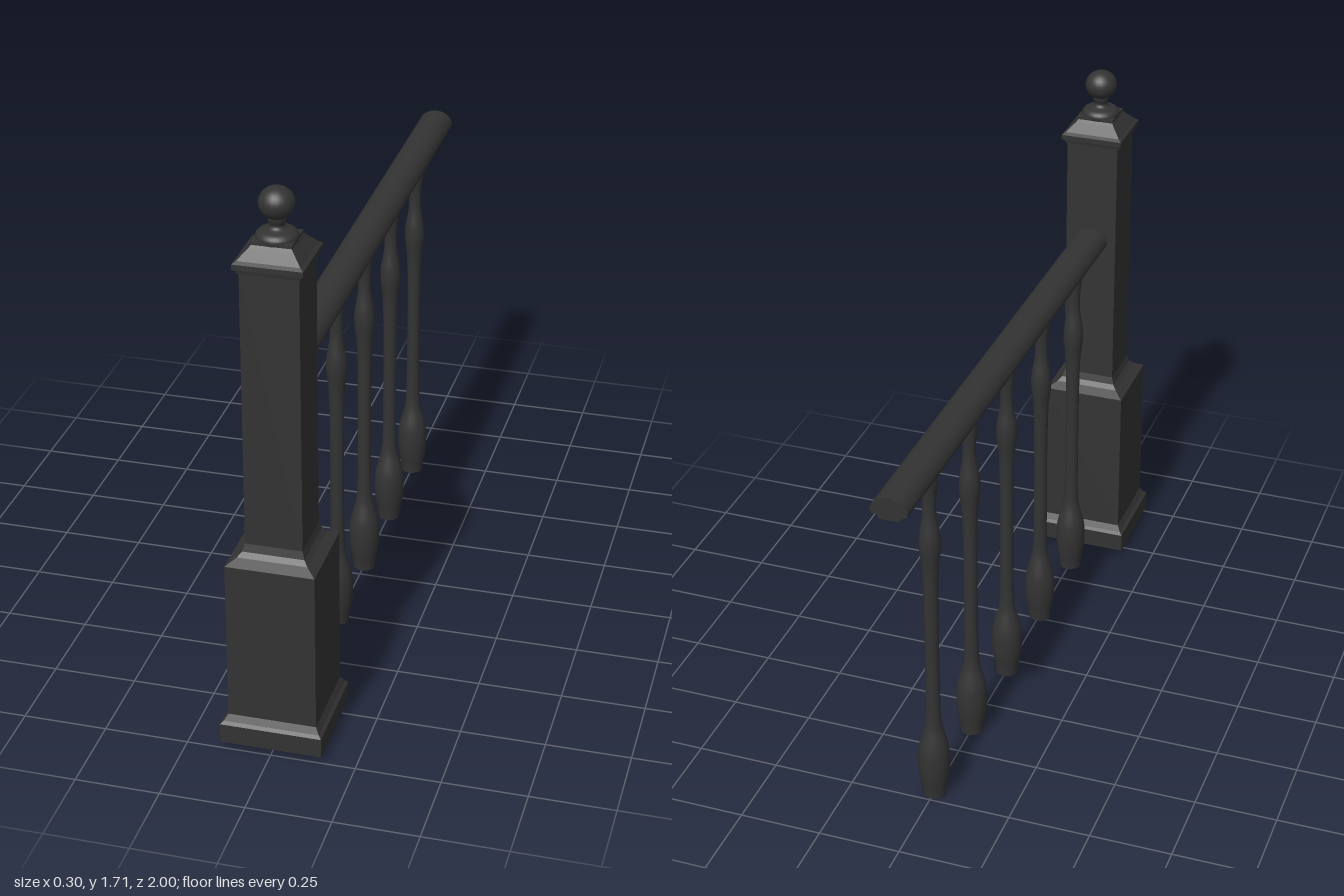
import * as THREE from 'three';

const flat = new THREE.MeshStandardMaterial({ color: 0x333333, flatShading: true });
const smooth = new THREE.MeshStandardMaterial({ color: 0x333333 });

const POST_Z = 0.85, RAIL_FRONT = 0.78, RAIL_BACK = -1;
const railBottom = z => 1.12 + (0.77 - z) * 0.0113;
const points = list => list.map(([r, y]) => new THREE.Vector2(r, y));

function addMesh(parent, name, geometry, material) {
  const mesh = new THREE.Mesh(geometry, material);
  mesh.name = name;
  parent.add(mesh);
  return mesh;
}

// Square moulding: profile of half-widths swept around four sides
function squareTurn(profile) {
  const pts = points(profile.map(([h, y]) => [h * Math.SQRT2, y]));
  return new THREE.LatheGeometry(pts, 4, Math.PI / 4);
}

// Smooth turned profile, with optional closed ends
function roundTurn(profile, steps, sides) {
  const curve = new THREE.SplineCurve(points(profile));
  const pts = curve.getPoints(steps);
  return new THREE.LatheGeometry(pts, sides);
}

function newelPost() {
  const post = new THREE.Group();
  post.name = 'newelPost';
  post.position.z = POST_Z;
  addMesh(post, 'postBody', squareTurn([
    [0, 0.02], [0.15, 0.02], [0.15, 0.08], [0.141, 0.088], [0.13, 0.107],
    [0.13, 0.6], [0.102, 0.618], [0.09, 0.632], [0.083, 0.655], [0.083, 1.49], [0, 1.49],
  ]), flat);
  addMesh(post, 'postCap', squareTurn([
    [0, 1.483], [0.088, 1.483], [0.09, 1.493], [0.098, 1.497], [0.098, 1.513],
    [0.088, 1.52], [0.062, 1.548], [0.056, 1.556], [0.056, 1.564], [0, 1.568],
  ]), flat);
  addMesh(post, 'finialBase', roundTurn([
    [0.058, 1.556], [0.059, 1.57], [0.048, 1.582], [0.028, 1.588],
    [0.02, 1.598], [0.025, 1.612], [0.026, 1.63],
  ], 20, 24), smooth);
  const ball = addMesh(post, 'finialBall', new THREE.SphereGeometry(0.05, 24, 16), smooth);
  ball.scale.y = 0.92;
  ball.position.y = 1.66;
  return post;
}

// Domed handrail with a bevelled underside, sheared to rise towards the back
function handrail() {
  const s = new THREE.Shape();
  s.moveTo(-0.028, 0);
  s.lineTo(0.028, 0);
  s.lineTo(0.034, 0.01);
  s.lineTo(0.052, 0.017);
  s.lineTo(0.055, 0.03);
  s.bezierCurveTo(0.05, 0.055, 0.028, 0.07, 0, 0.07);
  s.bezierCurveTo(-0.028, 0.07, -0.05, 0.055, -0.055, 0.03);
  s.lineTo(-0.052, 0.017);
  s.lineTo(-0.034, 0.01);
  const g = new THREE.ExtrudeGeometry(s, {
    depth: RAIL_FRONT - RAIL_BACK, bevelEnabled: false, curveSegments: 10,
  });
  g.translate(0, 0, RAIL_BACK);
  const p = g.attributes.position;
  for (let i = 0; i < p.count; i++) p.setY(i, p.getY(i) + railBottom(p.getZ(i)));
  g.computeVertexNormals();
  return g;
}

// Turned baluster whose top is tucked into the rail
function baluster(z) {
  const group = new THREE.Group();
  group.name = 'baluster';
  group.position.z = z;
  const top = railBottom(z) + 0.012;
  addMesh(group, 'spindle', roundTurn([
    [0.035, 0], [0.038, 0.03], [0.045, 0.07], [0.048, 0.12], [0.045, 0.17],
    [0.034, 0.215], [0.026, 0.25], [0.022, 0.31], [0.021, 0.45], [0.021, 0.6],
    [0.022, 0.72], [0.024, 0.8], [0.028, 0.84], [0.032, 0.88], [0.03, 0.92],
    [0.024, 0.955], [0.02, 0.99], [0.02, 1.03], [0.024, 1.075], [0.026, 1.1], [0.026, top],
  ], 60, 20), smooth);
  const foot = addMesh(group, 'balusterFoot', new THREE.CircleGeometry(0.035, 20), smooth);
  foot.rotation.x = Math.PI / 2;
  return group;
}

export function createModel() {
  const model = new THREE.Group();
  model.name = 'stairBalustrade';
  model.add(newelPost());
  addMesh(model, 'handrail', handrail(), smooth);
  for (let i = 0; i < 5; i++) model.add(baluster(0.595 - i * 0.3255));
  return model;
}
